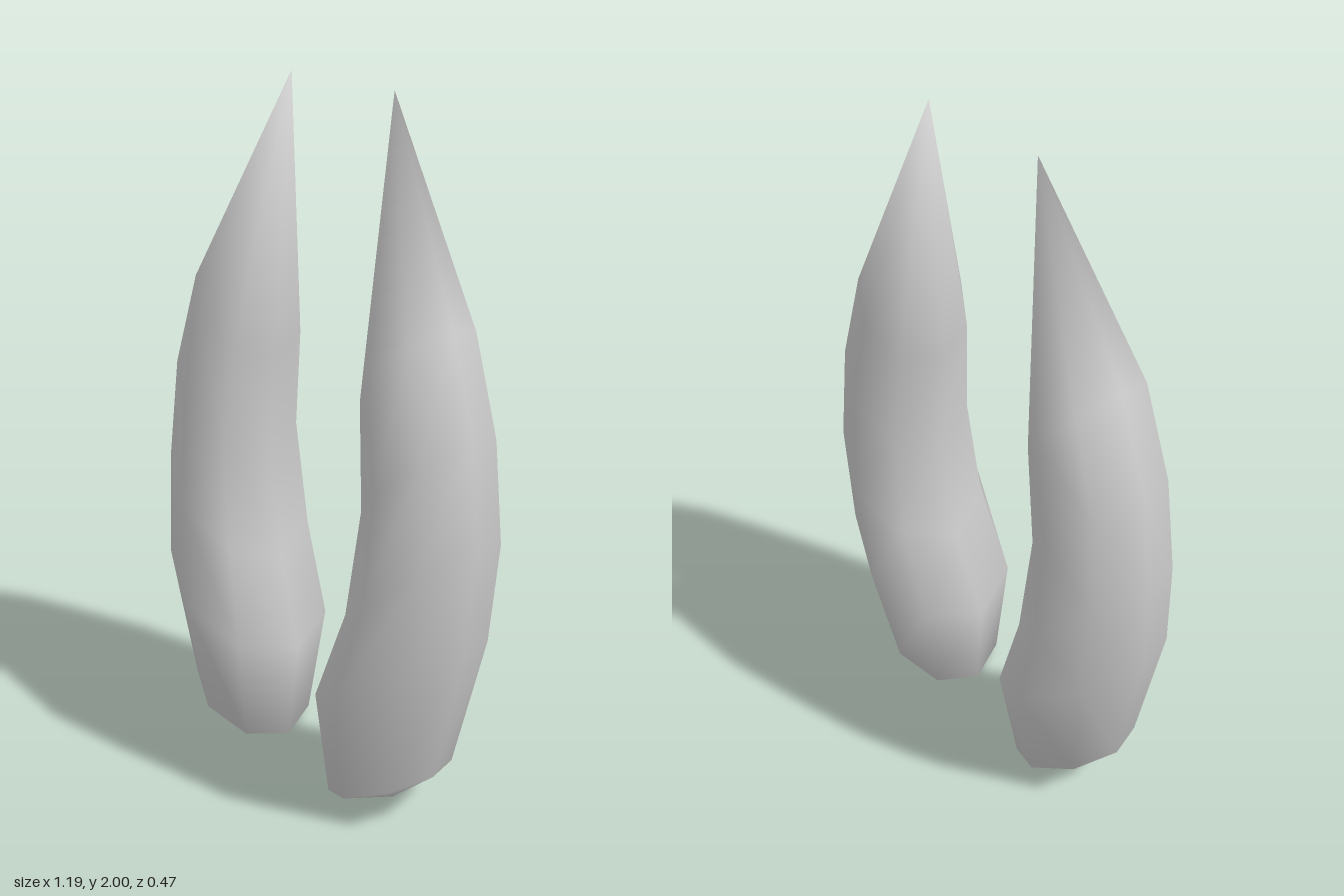
import * as THREE from 'three';

const SIDES = 8;

// Tilted rings from base to tip: inner edge (x, y), outer edge (x, y), z centre, z radius
const RINGS = [
  { inner: [0.14, 0.0], outer: [0.49, 0.17], z: 0.01, rz: 0.175 },
  { inner: [0.105, 0.31], outer: [0.575, 0.58], z: 0.0, rz: 0.237 },
  { inner: [0.2, 0.58], outer: [0.595, 0.89], z: -0.018, rz: 0.212 },
  { inner: [0.25, 0.9], outer: [0.56, 1.18], z: -0.022, rz: 0.19 },
  { inner: [0.23, 1.2], outer: [0.47, 1.45], z: -0.028, rz: 0.172 },
];
const BASE = [0.33, 0.02, 0.01];
const TIP = [0.2, 2.0, -0.07];

// One curved horn; side is +1 (left) or -1 (right, mirrored)
function hornGeometry(side) {
  const positions = [];
  const indices = [];
  const point = (x, y, z) => positions.push(side * x, y, z);
  const face = (a, b, c) => (side > 0 ? indices.push(a, b, c) : indices.push(a, c, b));

  for (const { inner, outer, z, rz } of RINGS) {
    for (let i = 0; i < SIDES; i++) {
      const a = (i / SIDES) * Math.PI * 2;
      const t = (1 + Math.cos(a)) / 2;
      point(
        THREE.MathUtils.lerp(inner[0], outer[0], t),
        THREE.MathUtils.lerp(inner[1], outer[1], t),
        z + rz * Math.sin(a)
      );
    }
  }
  const base = RINGS.length * SIDES;
  const tip = base + 1;
  point(...BASE);
  point(...TIP);

  const last = (RINGS.length - 1) * SIDES;
  for (let i = 0; i < SIDES; i++) {
    const j = (i + 1) % SIDES;
    // walls between neighbouring rings
    for (let r = 0; r < last; r += SIDES) {
      face(r + i, r + SIDES + i, r + j);
      face(r + j, r + SIDES + i, r + SIDES + j);
    }
    // rounded base and pointed tip
    face(base, i, j);
    face(last + i, tip, last + j);
  }

  const geometry = new THREE.BufferGeometry();
  geometry.setAttribute('position', new THREE.Float32BufferAttribute(positions, 3));
  geometry.setIndex(indices);
  geometry.computeVertexNormals();
  return geometry;
}

export function createModel() {
  const model = new THREE.Group();
  model.name = 'hornPair';
  const material = new THREE.MeshStandardMaterial({ color: 0xcccccc });
  for (const [name, side] of [['leftHorn', 1], ['rightHorn', -1]]) {
    const horn = new THREE.Mesh(hornGeometry(side), material);
    horn.name = name;
    model.add(horn);
  }
  return model;
}
